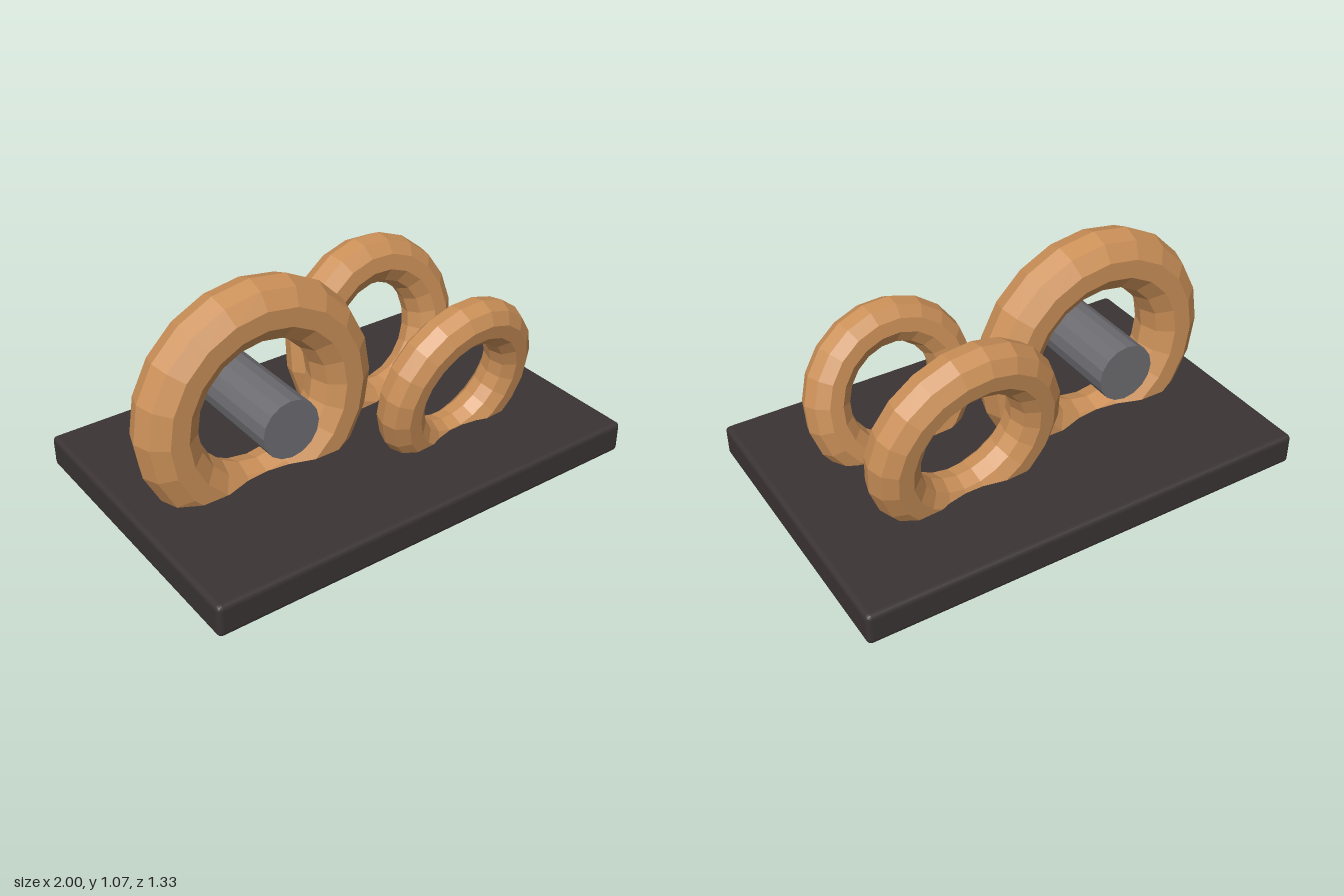
import * as THREE from 'three';
import { RoundedBoxGeometry } from 'three/addons/geometries/RoundedBoxGeometry.js';

function material(name, color, flatShading = true) {
  const m = new THREE.MeshStandardMaterial({ color, flatShading });
  m.name = name;
  return m;
}

export function createModel() {
  const group = new THREE.Group();
  group.name = 'ringsOnBoard';
  const tan = material('tan', 0xcb9058);
  const charcoal = material('charcoal', 0x3b3434);
  const grey = material('grey', 0x6d6c71);

  function add(name, geometry, mat, position, rotation = [0, 0, 0]) {
    const mesh = new THREE.Mesh(geometry, mat);
    mesh.name = name;
    mesh.position.set(...position);
    mesh.rotation.set(...rotation);
    group.add(mesh);
  }

  // Board with softened edges
  add('board', new RoundedBoxGeometry(2, 0.14, 1.33, 2, 0.02), charcoal, [0, 0.17, 0]);

  // Upright and leaning rings, sunk through the board
  const rings = [
    ['largeRing', 0.405, 0.13, [-0.41, 0.54, 0], [0, 0, 0]],
    ['backRing', 0.329, 0.108, [0.335, 0.503, -0.225], [-0.155, 0.06, 0.1]],
    ['frontRing', 0.296, 0.097, [0.405, 0.465, 0.262], [0.18, 0.06, 0.14]],
  ];
  for (const [name, radius, tube, position, rotation] of rings) {
    add(name, new THREE.TorusGeometry(radius, tube, 10, 20), tan, position, rotation);
  }

  // Peg through the large ring
  add('peg', new THREE.CylinderGeometry(0.127, 0.127, 0.524, 16), grey, [-0.41, 0.54, 0], [Math.PI / 2, 0, 0]);

  return group;
}
